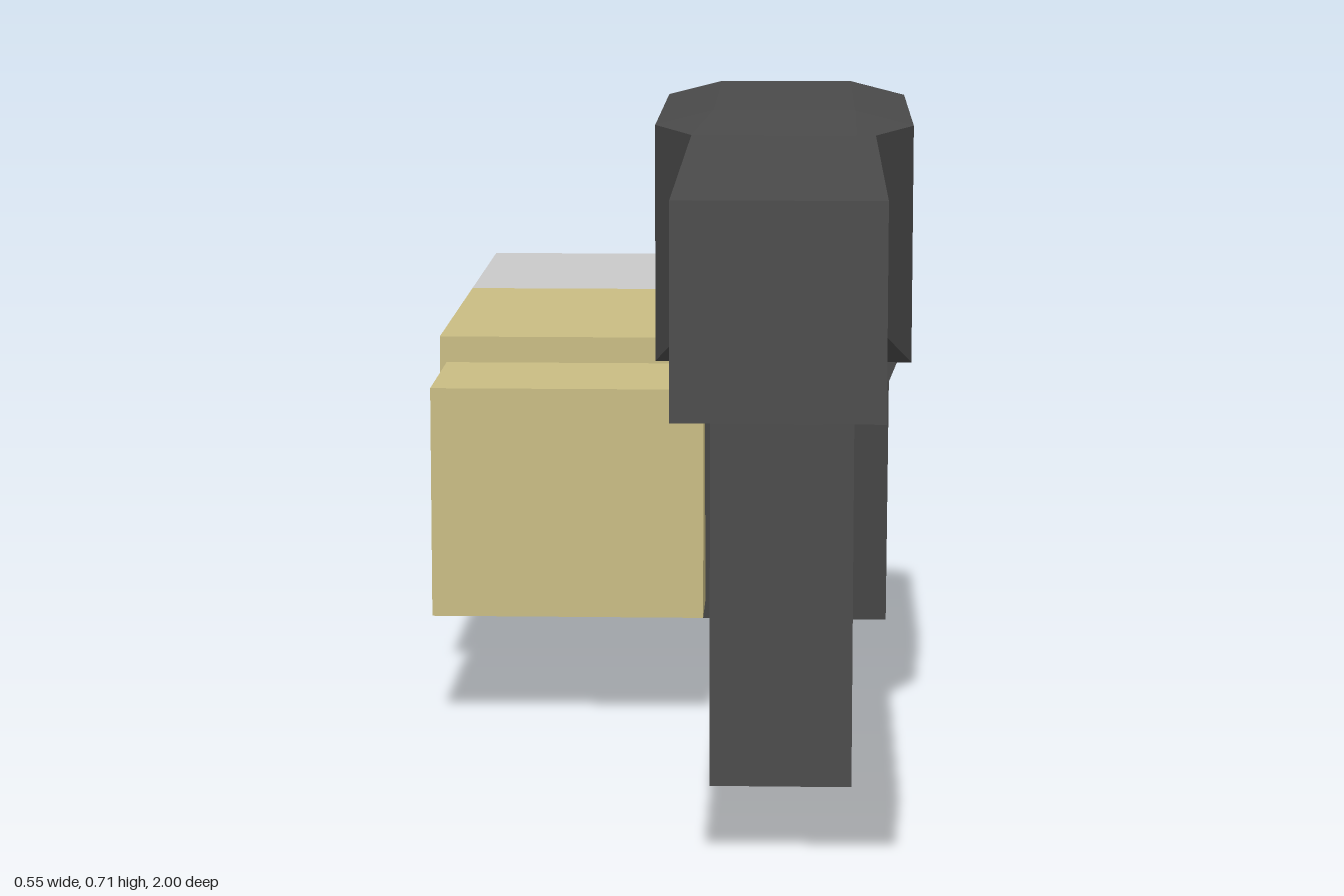
import * as THREE from 'three';

const dark = new THREE.MeshStandardMaterial({ color: 0x4a4a4a });
dark.name = 'dark metal';
const brass = new THREE.MeshStandardMaterial({ color: 0xc9bc83 });
brass.name = 'brass';
const silver = new THREE.MeshStandardMaterial({ color: 0xc9c9c9 });
silver.name = 'silver';

// Flat-shaded solid through rings of points, each counter-clockwise about the loft direction
function loft(name, material, rings) {
  const pos = [];
  const tri = (...pts) => pts.forEach((p) => pos.push(...p));
  const n = rings[0].length;
  for (let r = 0; r + 1 < rings.length; r++) {
    const a = rings[r], b = rings[r + 1];
    for (let i = 0; i < n; i++) {
      const j = (i + 1) % n;
      tri(a[i], a[j], b[j]);
      tri(a[i], b[j], b[i]);
    }
  }
  const first = rings[0], last = rings[rings.length - 1];
  for (let i = 1; i + 1 < n; i++) {
    tri(first[0], first[i + 1], first[i]);
    tri(last[0], last[i], last[i + 1]);
  }
  const geo = new THREE.BufferGeometry();
  geo.setAttribute('position', new THREE.Float32BufferAttribute(pos, 3));
  geo.computeVertexNormals();
  const mesh = new THREE.Mesh(geo, material);
  mesh.name = name;
  return mesh;
}

// Box given by its limits on each axis
function block(name, material, [x0, x1], [y0, y1], [z0, z1]) {
  const mesh = new THREE.Mesh(new THREE.BoxGeometry(x1 - x0, y1 - y0, z1 - z0), material);
  mesh.position.set((x0 + x1) / 2, (y0 + y1) / 2, (z0 + z1) / 2);
  mesh.name = name;
  return mesh;
}

// Upright section with a raised flat along the middle of its top
const bodyRing = (x0, x1, y0, ySide, yTop, z) => [
  [x0, y0, z], [x1, y0, z], [x1, ySide, z],
  [0.212, yTop, z], [0.06, yTop, z], [x0, ySide, z],
];
// Rectangle across z, and rectangle across y
const rectZ = (x0, x1, y0, y1, z) => [[x0, y0, z], [x1, y0, z], [x1, y1, z], [x0, y1, z]];
const rectY = (x0, x1, z0, z1, y) => [[x1, y, z1], [x1, y, z0], [x0, y, z0], [x0, y, z1]];

export function createModel() {
  const model = new THREE.Group();

  // Blaster: body tapering into the barrel, slanted grip, front handle
  const blaster = new THREE.Group();
  blaster.name = 'blaster';
  blaster.add(
    loft('bodyAndBarrel', dark, [
      bodyRing(-0.003, 0.275, 0.44, 0.697, 0.713, -0.19),
      bodyRing(-0.003, 0.275, 0.44, 0.697, 0.713, 0.23),
      bodyRing(0.04, 0.232, 0.5, 0.698, 0.698, 0.362),
      bodyRing(0.04, 0.232, 0.5, 0.698, 0.698, 1),
    ]),
    loft('grip', dark, [
      rectY(0.028, 0.255, -0.24, -0.003, 0.103),
      rectY(0.028, 0.255, -0.192, 0.045, 0.39),
      rectY(-0.003, 0.275, -0.19, 0.048, 0.44),
    ]),
    loft('frontHandle', dark, [
      rectY(0.06, 0.212, 0.23, 0.362, 0),
      [[0.212, 0.5, 0.362], [0.212, 0.44, 0.23], [0.06, 0.44, 0.23], [0.06, 0.5, 0.362]],
    ]),
  );

  // Cartridge: rim, recessed neck, case and tip
  const cartridge = new THREE.Group();
  cartridge.name = 'cartridge';
  cartridge.add(
    block('rim', brass, [-0.262, 0.046], [0.126, 0.388], [-0.097, 0.1]),
    loft('neck', brass, [
      rectZ(-0.23, 0.014, 0.149, 0.366, -0.17),
      rectZ(-0.22, 0.004, 0.158, 0.357, -0.097),
    ]),
    block('case', brass, [-0.277, 0.061], [0.107, 0.408], [-0.617, -0.17]),
    block('tip', silver, [-0.277, 0.061], [0.107, 0.408], [-1, -0.617]),
  );

  model.add(blaster, cartridge);
  return model;
}
